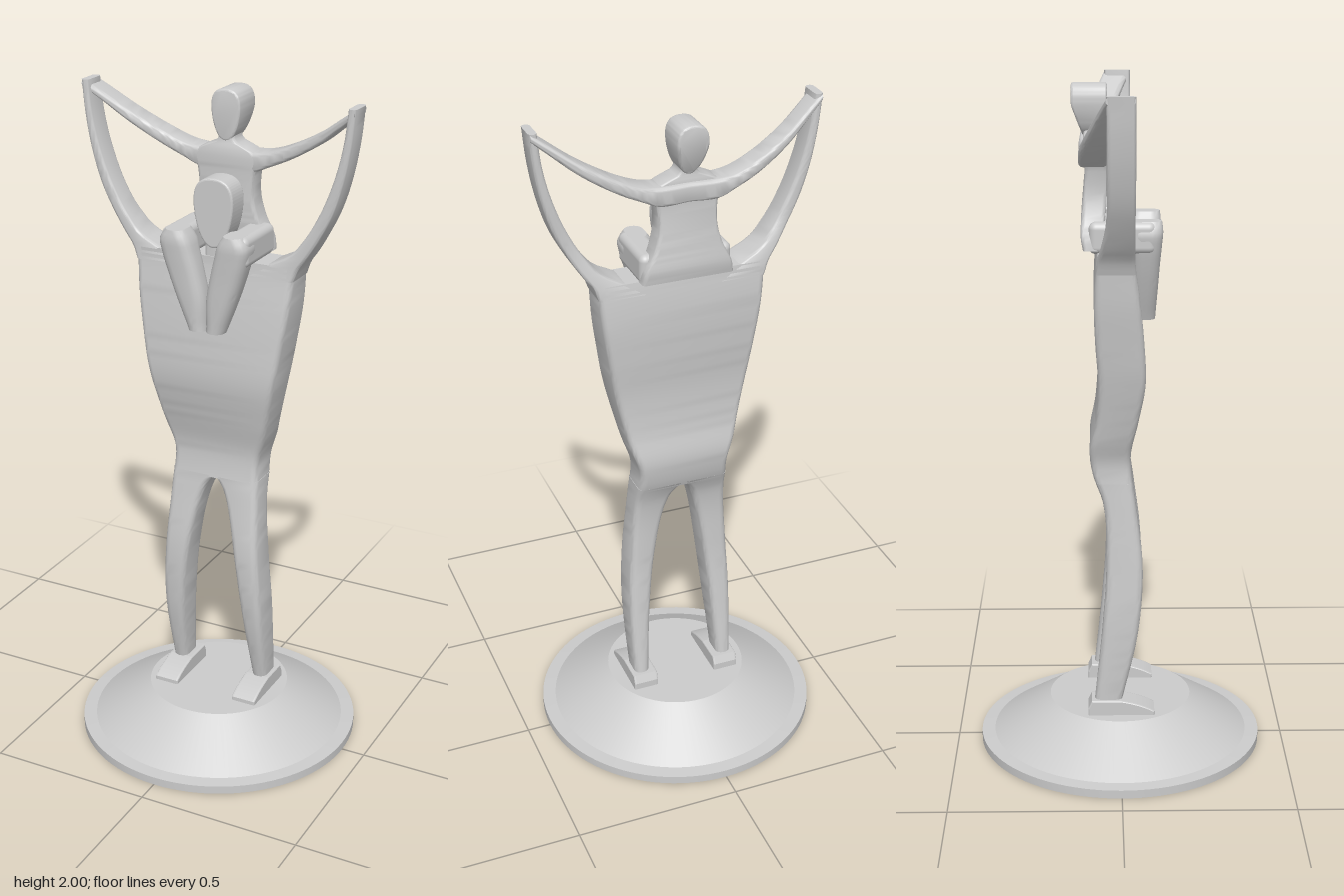
import * as THREE from 'three';
import { toCreasedNormals } from 'three/addons/utils/BufferGeometryUtils.js';
import { RoundedBoxGeometry } from 'three/addons/geometries/RoundedBoxGeometry.js';

const grey = new THREE.MeshStandardMaterial({ color: 0xcccccc });

function add(group, name, geometry) {
  const mesh = new THREE.Mesh(geometry, grey);
  mesh.name = name;
  group.add(mesh);
  return mesh;
}

// Smooth curve through rows of [t, a, b, ...]; returns t => [a, b, ...]
function through(rows) {
  const size = rows[0].length - 1;
  const curve = new THREE.CubicInterpolant(rows.map(r => r[0]), rows.flatMap(r => r.slice(1)), size);
  return t => Array.from(curve.evaluate(t));
}

// Rounded rectangle outline as [u, v] pairs
function outline(u0, u1, v0, v1, radius) {
  const r = Math.min(radius, (u1 - u0) * 0.48, (v1 - v0) * 0.48);
  const corners = [[u1 - r, v1 - r], [u0 + r, v1 - r], [u0 + r, v0 + r], [u1 - r, v0 + r]];
  return corners.flatMap(([u, v], k) => [0, 1, 2, 3, 4].map(i => {
    const a = (k + i / 4) * Math.PI / 2;
    return [u + r * Math.cos(a), v + r * Math.sin(a)];
  }));
}

// Capped solid through rounded rectangles: section(t) gives [u0, u1, v0, v1],
// place(u, v, t) gives the point in space
function loft(t0, t1, steps, section, radius, place) {
  const pos = [], index = [], n = 20;
  for (let i = 0; i <= steps; i++) {
    const t = t0 + (t1 - t0) * i / steps;
    for (const [u, v] of outline(...section(t), radius)) pos.push(...place(u, v, t));
  }
  for (let i = 0; i < steps; i++) for (let j = 0; j < n; j++) {
    const a = i * n + j, b = i * n + (j + 1) % n;
    index.push(a, a + n, b, b, a + n, b + n);
  }
  for (let j = 1; j < n - 1; j++) {
    index.push(0, j, j + 1);
    index.push(steps * n, steps * n + j + 1, steps * n + j);
  }
  const g = new THREE.BufferGeometry();
  g.setAttribute('position', new THREE.Float32BufferAttribute(pos, 3));
  g.setIndex(index);
  return toCreasedNormals(g, 0.65);
}

const upright = (u, v, t) => [u, t, v];
const across = (u, v, t) => [t, v, u];
const mirrorX = (s, x0, x1) => s > 0 ? [x0, x1] : [-x1, -x0];

// Teardrop head, extruded from back to front
function head(width, bottom, top, back, front) {
  const h = top - bottom, bevel = 0.006, w = width - bevel;
  const s = new THREE.Shape();
  s.moveTo(0, bottom);
  s.bezierCurveTo(w * 0.65, bottom, w, bottom + h * 0.42, w, bottom + h * 0.65);
  s.bezierCurveTo(w, bottom + h * 0.9, w * 0.6, top - bevel, 0, top - bevel);
  s.bezierCurveTo(-w * 0.6, top - bevel, -w, bottom + h * 0.9, -w, bottom + h * 0.65);
  s.bezierCurveTo(-w, bottom + h * 0.42, -w * 0.65, bottom, 0, bottom);
  const g = new THREE.ExtrudeGeometry(s, {
    depth: front - back - 2 * bevel, curveSegments: 14,
    bevelThickness: bevel, bevelSize: bevel, bevelSegments: 3,
  });
  g.translate(0, 0, back + bevel);
  return g;
}

function createBase() {
  const profile = [[0, 0], [0.428, 0], [0.428, 0.025], [0.388, 0.028], [0.215, 0.14], [0, 0.14]];
  const g = new THREE.LatheGeometry(profile.map(p => new THREE.Vector2(...p)), 96);
  return toCreasedNormals(g, 0.3);
}

function createFoot() {
  const s = new THREE.Shape();
  s.moveTo(-0.095, 0.135);
  s.lineTo(0.098, 0.135);
  s.lineTo(0.098, 0.15);
  s.quadraticCurveTo(0.06, 0.172, 0, 0.182);
  s.lineTo(-0.085, 0.182);
  s.lineTo(-0.095, 0.16);
  const g = new THREE.ExtrudeGeometry(s, {
    depth: 0.066, bevelThickness: 0.006, bevelSize: 0.003, bevelSegments: 2,
  });
  g.rotateY(-Math.PI / 2);
  g.translate(0.033, 0, 0);
  return g;
}

export function createModel() {
  const model = new THREE.Group();
  model.name = 'statuette';
  add(model, 'base', createBase());

  // Adult: [y, back z, front z] of the wavy slab shared by legs, torso and arms
  const slab = through([
    [0.16, -0.08, 0.0], [0.4, -0.055, 0.052], [0.6, -0.042, 0.065], [0.8, -0.052, 0.043],
    [0.88, -0.08, 0.032], [0.95, -0.09, 0.03], [1.05, -0.072, 0.05], [1.17, -0.065, 0.07],
    [1.3, -0.073, 0.065], [1.42, -0.076, 0.053], [1.52, -0.068, 0.04], [1.65, -0.043, 0.037],
    [1.8, -0.041, 0.037], [2.0, -0.042, 0.036],
  ]);
  const adult = new THREE.Group();
  adult.name = 'adult';
  model.add(adult);

  const torso = through([
    [0.84, 0.14], [0.92, 0.138], [1.0, 0.162], [1.1, 0.186], [1.2, 0.207],
    [1.3, 0.223], [1.4, 0.238], [1.5, 0.248], [1.54, 0.252],
  ]);
  add(adult, 'torso', loft(0.85, 1.54, 40, y => {
    const [x] = torso(y);
    return [-x, x, ...slab(y)];
  }, 0.02, upright));

  const leg = through([
    [0.16, 0.116, 0.16], [0.3, 0.108, 0.164], [0.45, 0.096, 0.164], [0.6, 0.078, 0.156],
    [0.74, 0.052, 0.147], [0.81, 0.03, 0.143], [0.84, 0.012, 0.141], [0.86, -0.012, 0.14],
  ]);
  const arm = through([
    [1.5, 0.1, 0.248], [1.54, 0.17, 0.264], [1.57, 0.228, 0.286], [1.62, 0.273, 0.318],
    [1.7, 0.32, 0.36], [1.8, 0.36, 0.392], [1.9, 0.385, 0.411], [2.0, 0.397, 0.421],
  ]);
  for (const s of [1, -1]) {
    const side = s > 0 ? 'left' : 'right';
    const limb = curve => y => [...mirrorX(s, ...curve(y)), ...slab(y)];
    add(adult, side + 'Leg', loft(0.16, 0.86, 36, limb(leg), 0.02, upright));
    add(adult, side + 'Arm', loft(1.5, 2.0, 32, limb(arm), 0.012, upright));
    add(adult, side + 'Foot', createFoot()).position.x = s * 0.134;
  }
  add(adult, 'neck', loft(1.5, 1.63, 2, () => [-0.03, 0.03, -0.035, 0.035], 0.012, upright));
  add(adult, 'head', head(0.062, 1.57, 1.765, -0.035, 0.04));

  // Child sitting on the shoulders
  const child = new THREE.Group();
  child.name = 'child';
  model.add(child);

  const body = through([
    [1.545, 0.135, -0.106, -0.058], [1.58, 0.128, -0.112, -0.052], [1.64, 0.1, -0.11, -0.042],
    [1.7, 0.086, -0.105, -0.038], [1.77, 0.09, -0.1, -0.037], [1.81, 0.1, -0.102, -0.037],
    [1.835, 0.075, -0.104, -0.037], [1.85, 0.036, -0.104, -0.038], [1.9, 0.028, -0.108, -0.04],
  ]);
  add(child, 'childBody', loft(1.545, 1.9, 36, y => {
    const [x, back, front] = body(y);
    return [-x, x, back, front];
  }, 0.012, upright));

  // Head with its back tapering in toward the nape
  const childHead = head(0.045, 1.86, 2.0, -0.138, -0.037);
  const p = childHead.attributes.position;
  for (let i = 0; i < p.count; i++) {
    const taper = THREE.MathUtils.clamp((1.94 - p.getY(i)) / 0.08, 0, 1);
    if (p.getZ(i) < -0.09) p.setZ(i, p.getZ(i) + 0.03 * taper);
  }
  childHead.computeVertexNormals();
  add(child, 'childHead', toCreasedNormals(childHead, 0.6));

  // Both arms in one sweep: [x, back z, front z, lower y, upper y]
  const reach = through([
    [0, -0.115, -0.037, 1.775, 1.83], [0.09, -0.118, -0.037, 1.775, 1.83],
    [0.13, -0.117, -0.036, 1.792, 1.836], [0.2, -0.11, -0.03, 1.824, 1.863],
    [0.3, -0.086, -0.01, 1.884, 1.918], [0.38, -0.058, 0.018, 1.948, 1.974],
    [0.417, -0.044, 0.035, 1.978, 1.999],
  ]);
  add(child, 'childArms', loft(-0.417, 0.417, 60, x => reach(Math.abs(x)), 0.012, across));

  // Thighs go forward over the shoulders, shins hang in a V on the chest
  const shin = through([
    [1.33, 0, 0.056, 0.03, 0.101], [1.42, 0.002, 0.09, 0.03, 0.107], [1.5, 0.018, 0.117, 0.03, 0.112],
    [1.56, 0.034, 0.133, 0.028, 0.117], [1.6, 0.046, 0.136, 0.026, 0.12], [1.625, 0.062, 0.118, 0.034, 0.117],
  ]);
  for (const s of [1, -1]) {
    const side = s > 0 ? 'left' : 'right';
    add(child, side + 'ChildShin', loft(1.33, 1.625, 20, y => {
      const [x0, x1, z0, z1] = shin(y);
      return [...mirrorX(s, x0, x1), z0, z1];
    }, 0.03, upright));
    add(child, side + 'ChildThigh', new RoundedBoxGeometry(0.075, 0.09, 0.19, 4, 0.02))
      .position.set(s * 0.098, 1.58, 0.005);
  }
  return model;
}
